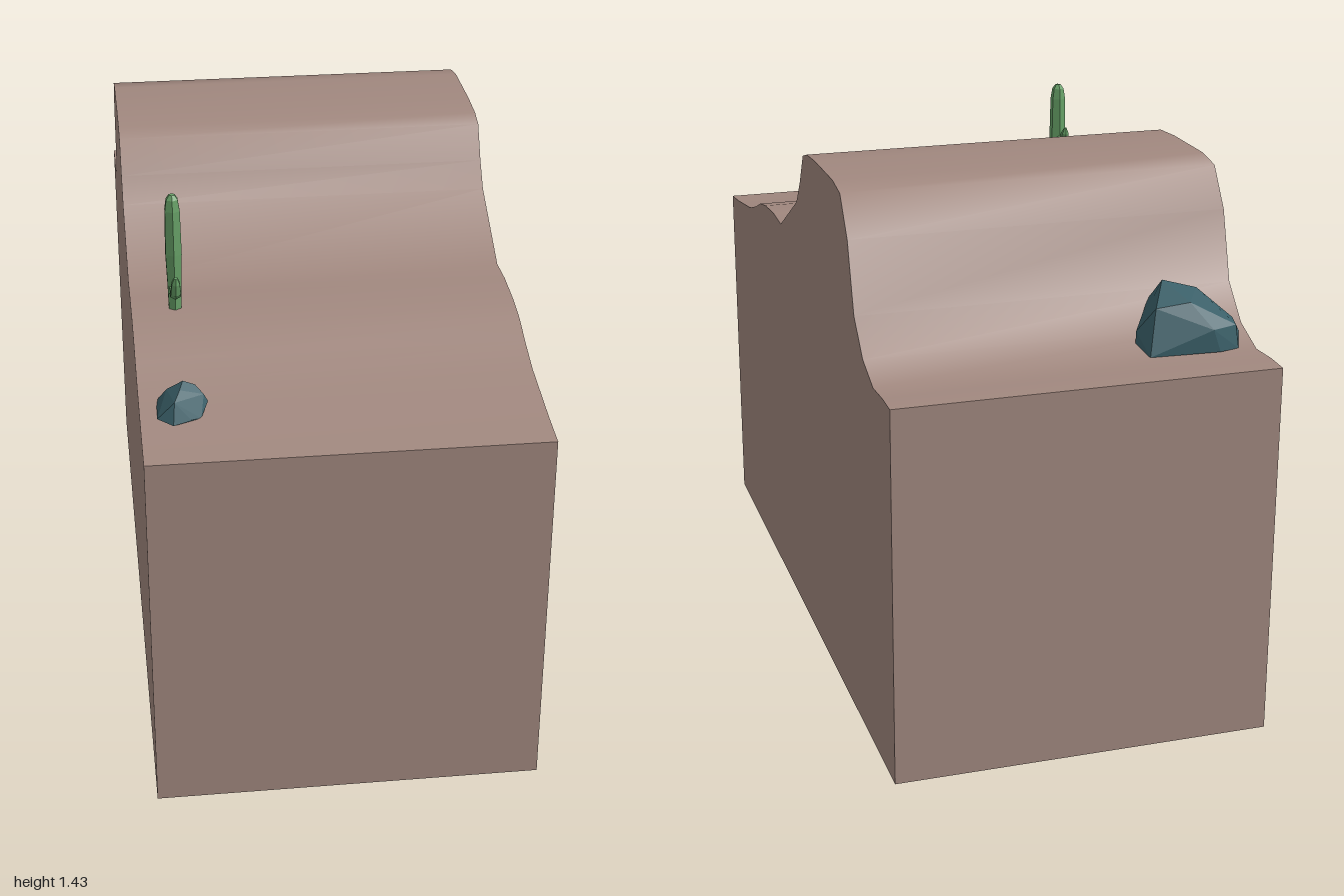
import * as THREE from 'three';
import { toCreasedNormals } from 'three/addons/utils/BufferGeometryUtils.js';
import { ConvexGeometry } from 'three/addons/geometries/ConvexGeometry.js';

// Ground profile from front to back, as [z, y]
const PROFILE = [
  [1, 1], [0.9, 1.01], [0.8, 1.025], [0.7, 1.04], [0.6, 1.07], [0.53, 1.097], [0.45, 1.112],
  [0.33, 1.12], [0.23, 1.115], [0, 1.24], [-0.05, 1.305], [-0.1, 1.393], [-0.15, 1.408],
  [-0.25, 1.414], [-0.45, 1.414], [-0.53, 1.4], [-0.6, 1.3], [-0.655, 1.12],
  [-0.74, 1.035], [-0.84, 0.997], [-0.93, 1.002], [-1, 1],
];

// Six-sided limb lofted along a path in the x = 0 plane; path points are [z, y, radius]
function limbGeometry(path) {
  const sides = 6, positions = [], indices = [];
  path.forEach(([z, y, r], i) => {
    const a = path[Math.max(i - 1, 0)], b = path[Math.min(i + 1, path.length - 1)];
    const t = new THREE.Vector2(b[0] - a[0], b[1] - a[1]).normalize();
    for (let k = 0; k < sides; k++) {
      const ang = Math.PI / 6 + (k / sides) * Math.PI * 2;
      const c = Math.cos(ang) * r, s = Math.sin(ang) * r;
      positions.push(c, y + s * t.x, z - s * t.y);
      if (i === 0) continue;
      const k2 = (k + 1) % sides, lo = (i - 1) * sides, hi = i * sides;
      indices.push(lo + k, lo + k2, hi + k2, lo + k, hi + k2, hi + k);
    }
  });
  // Close the tip
  const last = (path.length - 1) * sides;
  for (let k = 1; k < sides - 1; k++) indices.push(last, last + k, last + k + 1);
  const g = new THREE.BufferGeometry();
  g.setAttribute('position', new THREE.Float32BufferAttribute(positions, 3));
  g.setIndex(indices);
  g.computeVertexNormals();
  return g;
}

export function createModel() {
  const model = new THREE.Group();
  const earth = new THREE.MeshStandardMaterial({ color: 0xa1887f });
  const stone = new THREE.MeshStandardMaterial({ color: 0x3a5f68, flatShading: true });
  const green = new THREE.MeshStandardMaterial({ color: 0x669f66, flatShading: true });

  const add = (parent, name, geometry, material) => {
    const mesh = new THREE.Mesh(geometry, material);
    mesh.name = name;
    parent.add(mesh);
    return mesh;
  };

  // Block of ground with a smooth hill on top
  const shape = new THREE.Shape();
  shape.moveTo(-1, 0);
  PROFILE.forEach(([z, y]) => shape.lineTo(-z, y));
  shape.lineTo(1, 0);
  const ground = new THREE.ExtrudeGeometry(shape, { depth: 1, bevelEnabled: false });
  ground.rotateY(Math.PI / 2).translate(-0.5, 0, 0);
  add(model, 'ground', toCreasedNormals(ground, 1.1), earth);

  // Cactus
  const cactus = new THREE.Group();
  cactus.name = 'cactus';
  cactus.position.x = -0.385;
  model.add(cactus);
  add(cactus, 'cactusTrunk', limbGeometry([
    [0.391, 1.09, 0.018], [0.391, 1.17, 0.02], [0.391, 1.27, 0.024],
    [0.391, 1.39, 0.022], [0.391, 1.42, 0.017], [0.391, 1.432, 0.008],
  ]), green);
  add(cactus, 'cactusFrontArm', limbGeometry([
    [0.395, 1.172, 0.016], [0.43, 1.172, 0.016], [0.453, 1.188, 0.015],
    [0.465, 1.218, 0.012], [0.47, 1.235, 0.005],
  ]), green);
  add(cactus, 'cactusBackArm', limbGeometry([
    [0.385, 1.265, 0.014], [0.35, 1.27, 0.015], [0.33, 1.28, 0.014],
    [0.322, 1.3, 0.011], [0.318, 1.315, 0.004],
  ]), green);

  // Rocks: faceted hulls of [x, y, z] corners
  const rock = (name, corners) =>
    add(model, name, new ConvexGeometry(corners.map((p) => new THREE.Vector3(...p))), stone);
  rock('frontRock', [
    [-0.455, 1.03, 0.735], [-0.41, 1.035, 0.722], [-0.33, 1.045, 0.78], [-0.35, 1.02, 0.82],
    [-0.375, 1.025, 0.835], [-0.42, 1.025, 0.86], [-0.458, 1.03, 0.83],
    [-0.43, 1.068, 0.75], [-0.39, 1.1, 0.77], [-0.36, 1.085, 0.765],
    [-0.415, 1.075, 0.835], [-0.40, 1.09, 0.8], [-0.4, 1.07, 0.735], [-0.34, 1.065, 0.78],
  ]);
  rock('backRock', [
    [-0.485, 1.02, -0.76], [-0.455, 1.0, -0.83], [-0.4, 1.0, -0.845], [-0.215, 1.0, -0.835],
    [-0.195, 1.01, -0.78], [-0.2, 1.05, -0.77], [-0.27, 1.1, -0.668], [-0.41, 1.1, -0.69],
    [-0.29, 1.16, -0.71], [-0.38, 1.135, -0.72], [-0.24, 1.115, -0.8], [-0.38, 1.06, -0.845],
    [-0.45, 1.06, -0.82], [-0.33, 1.125, -0.805], [-0.465, 1.06, -0.76], [-0.27, 1.0, -0.67],
    [-0.41, 1.0, -0.7],
  ]);

  return model;
}
